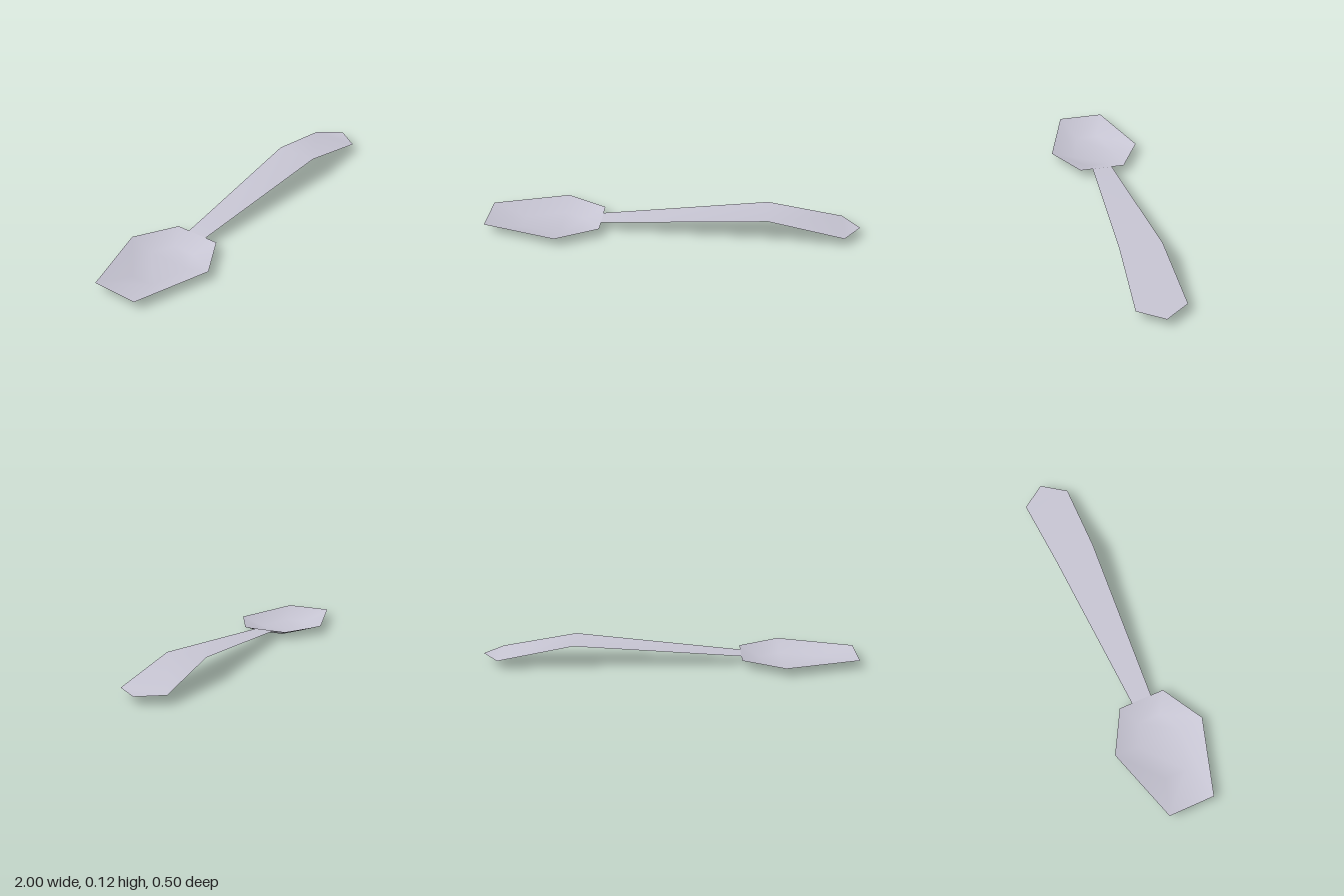
import * as THREE from 'three';

const RIM_Y = 0.042;

// Mirrored outline: stations [x, half width, y] along +z, then back along -z.
// Seen from above it runs counter-clockwise, so faces point up.
function outline(stations) {
  const near = stations.map(([x, w, y]) => [x, y, w]);
  const far = stations.map(([x, w, y]) => [x, y, -w]).reverse();
  return [...near, ...far];
}

// Quads joining the near and far sides of an outline of n stations.
function sheetFaces(n, offset = 0) {
  const faces = [];
  for (let i = 0; i < n - 1; i++) {
    const a = offset + i, b = a + 1;
    const d = offset + 2 * n - 1 - i, c = d - 1;
    faces.push(a, b, c, a, c, d);
  }
  return faces;
}

function smoothSurface(points, faces) {
  const geometry = new THREE.BufferGeometry();
  geometry.setAttribute('position', new THREE.Float32BufferAttribute(points.flat(), 3));
  geometry.setIndex(faces);
  geometry.computeVertexNormals();
  return geometry;
}

export function createModel() {
  const group = new THREE.Group();
  group.name = 'spoon';
  const metal = new THREE.MeshStandardMaterial({ color: 0xc8c6d4, side: THREE.DoubleSide });
  metal.name = 'pale metal';

  const add = (name, geometry) => {
    const mesh = new THREE.Mesh(geometry, metal);
    mesh.name = name;
    group.add(mesh);
  };

  // Bowl: six-sided rim sloping in to a flat six-sided floor
  const rim = outline([[-1, 0.125, RIM_Y], [-0.6, 0.25, RIM_Y], [-0.38, 0.125, RIM_Y]]);
  const floor = outline([[-0.81, 0.06, 0], [-0.6, 0.12, 0], [-0.485, 0.06, 0]]);
  const bowlFaces = sheetFaces(3, 6);
  for (let i = 0; i < 6; i++) {
    const j = (i + 1) % 6;
    bowlFaces.push(i, j, 6 + j, i, 6 + j, 6 + i);
  }
  add('bowl', smoothSurface([...rim, ...floor], bowlFaces));

  // Handle: thin sheet rising to a bend, then dropping to a pointed end
  const handle = outline([[-0.38, 0.055, RIM_Y], [0.51, 0.111, 0.118], [0.91, 0.127, RIM_Y]]);
  handle.push([1, RIM_Y, 0]);
  add('handle', smoothSurface(handle, [...sheetFaces(3), 2, 6, 3]));

  return group;
}
